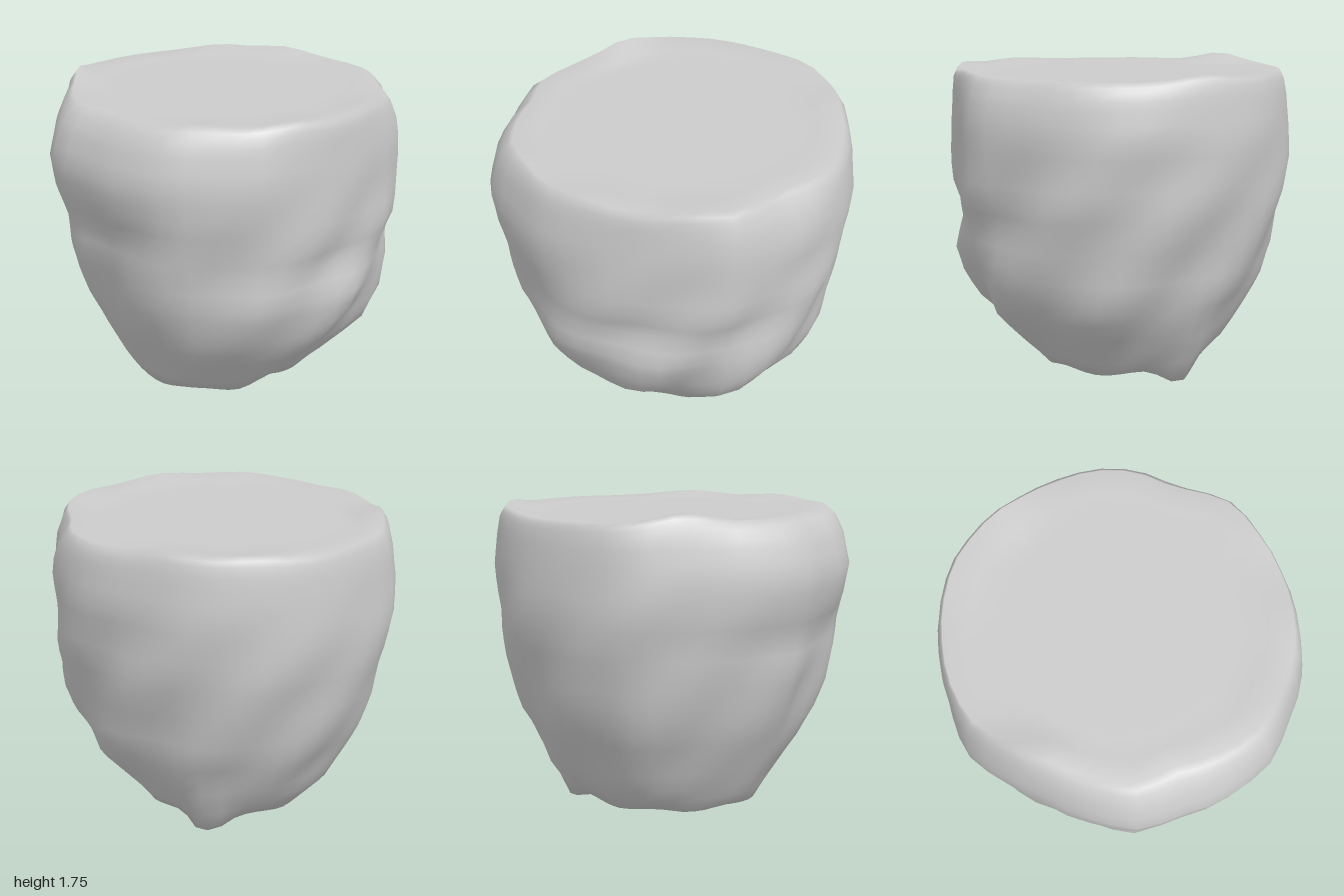
import * as THREE from 'three';

// Side profiles: radius at each height, seen at the front, left (+x), back and right (-x).
const HEIGHTS = [0.05, 0.2, 0.4, 0.56, 0.72, 0.9, 1.06, 1.23, 1.4, 1.56, 1.65, 1.7];
const PROFILES = [
  [0.43, 0.6, 0.8, 0.89, 0.94, 0.91, 0.95, 0.95, 0.95, 0.945, 0.94, 0.92],
  [0.52, 0.63, 0.78, 0.85, 0.88, 0.93, 0.96, 0.97, 0.99, 0.97, 0.95, 0.91],
  [0.48, 0.62, 0.72, 0.81, 0.87, 0.91, 0.95, 0.97, 0.96, 0.95, 0.935, 0.915],
  [0.52, 0.6, 0.71, 0.78, 0.83, 0.88, 0.89, 0.96, 0.99, 0.94, 0.88, 0.81],
];
// Irregular outline seen from above, every 15 degrees from the front towards +x.
const OUTLINE = [0.99, 1.0, 1.05, 1.03, 1.03, 1.02, 1.0, 0.99, 1.01, 1.02, 1.01, 1.0,
  1.0, 1.01, 0.97, 0.95, 0.98, 1.03, 1.0, 1.03, 1.06, 1.03, 1.04, 1.01];
// Raised lumps on the rim: angle, height.
const LUMPS = [[3.73, 0.05], [1.95, 0.035], [2.4, 0.025], [0.32, 0.025], [5.95, 0.025], [5.4, 0.015]];
const SEGMENTS = 48;
const TOP = 1.69;

const { lerp, smoothstep } = THREE.MathUtils;
// Sample a closed list at a fractional turn (0 to 1).
function around(list, turn) {
  const f = turn * list.length, i = Math.floor(f);
  return lerp(list[i % list.length], list[(i + 1) % list.length], f - i);
}

// Smooth bump of height 1 around one angle
function bump(a, centre, width) {
  const d = Math.atan2(Math.sin(a - centre), Math.cos(a - centre));
  return Math.exp(-((d / width) ** 2));
}
const foot = a => bump(a, 2.06, 0.2);
const rimLift = a => LUMPS.reduce((sum, [centre, h]) => sum + h * bump(a, centre, 0.22), 0);

function surfaceRadius(row, turn) {
  const i = Math.min(Math.floor(row), HEIGHTS.length - 2), t = row - i;
  const y = lerp(HEIGHTS[i], HEIGHTS[i + 1], t);
  const a = turn * Math.PI * 2;
  const base = around(PROFILES.map(p => lerp(p[i], p[i + 1], t)), turn);
  // Diagonal ridges, strongest on the +x front and low on the wall
  const fade = smoothstep(y, 0.05, 0.5) * (1 - smoothstep(y, 0.9, 1.6));
  const strength = 0.008 + 0.016 * (0.5 + 0.5 * Math.sin(a + 0.5));
  const ridge = strength * fade * Math.cos(9 * (a - 0.15 - 0.8 * (y - 0.7)));
  // Long groove climbing from the lower front to the rim on the +x side
  const groove = -0.025 * bump(a, 0.25 + 0.5 * (y - 0.4), 0.16) * smoothstep(y, 0.1, 0.5);
  // Worn shoulder at one corner, and a foot sticking out below
  const shoulder = -0.05 * bump(a, 0.8, 0.4) * smoothstep(y, 1.5, 1.7);
  const toe = 0.08 * foot(a) * (1 - smoothstep(y, 0.15, 0.45));
  return base * around(OUTLINE, turn) + ridge + groove + shoulder + toe;
}

function stoneGeometry() {
  const rings = [];
  // Crinkled underside, bulging slightly below its edge
  rings.push((turn, a) => [surfaceRadius(0, turn) * 0.3, 0.05 + 0.006 * Math.cos(7 * a)]);
  rings.push((turn, a) => [surfaceRadius(0, turn) * 0.72, 0.03 + 0.018 * Math.cos(7 * a + 0.6)]);
  // Lumpy wall
  const rows = (HEIGHTS.length - 1) * 2;
  for (let r = 0; r <= rows; r++) {
    const row = r / 2, i = Math.min(Math.floor(row), HEIGHTS.length - 2);
    const y = lerp(HEIGHTS[i], HEIGHTS[i + 1], row - i);
    rings.push((turn, a) => {
      const hem = r === 0 ? 0.012 * Math.cos(7 * a + 0.9) - 0.06 * foot(a) : 0;
      const lift = rimLift(a) * smoothstep(y, 1.5, 1.7);
      return [surfaceRadius(row, turn), Math.max(0, y + hem + lift)];
    });
  }
  // Flat top
  rings.push(turn => [surfaceRadius(rows / 2, turn) * 0.86, TOP]);
  rings.push(() => [0.6, TOP]);

  const positions = [], index = [];
  for (const ring of rings) {
    for (let s = 0; s < SEGMENTS; s++) {
      const turn = s / SEGMENTS, a = turn * Math.PI * 2;
      const [radius, y] = ring(turn, a);
      positions.push(radius * Math.sin(a), y, radius * Math.cos(a));
    }
  }
  const last = (rings.length - 1) * SEGMENTS, bottom = positions.length / 3;
  positions.push(0, 0.06, 0, 0, TOP, 0);
  for (let s = 0; s < SEGMENTS; s++) {
    const n = (s + 1) % SEGMENTS;
    for (let r = 0; r < rings.length - 1; r++) {
      const p = r * SEGMENTS, q = p + SEGMENTS;
      index.push(p + s, p + n, q + n, p + s, q + n, q + s);
    }
    index.push(bottom, n, s, bottom + 1, last + s, last + n);
  }
  const geometry = new THREE.BufferGeometry();
  geometry.setAttribute('position', new THREE.Float32BufferAttribute(positions, 3));
  geometry.setIndex(index);
  geometry.computeVertexNormals();
  return geometry;
}

export function createModel() {
  const group = new THREE.Group();
  group.name = 'flatToppedStone';
  const stone = new THREE.Mesh(stoneGeometry(), new THREE.MeshStandardMaterial({ color: 0xcccccc }));
  stone.name = 'stone';
  group.add(stone);
  return group;
}
